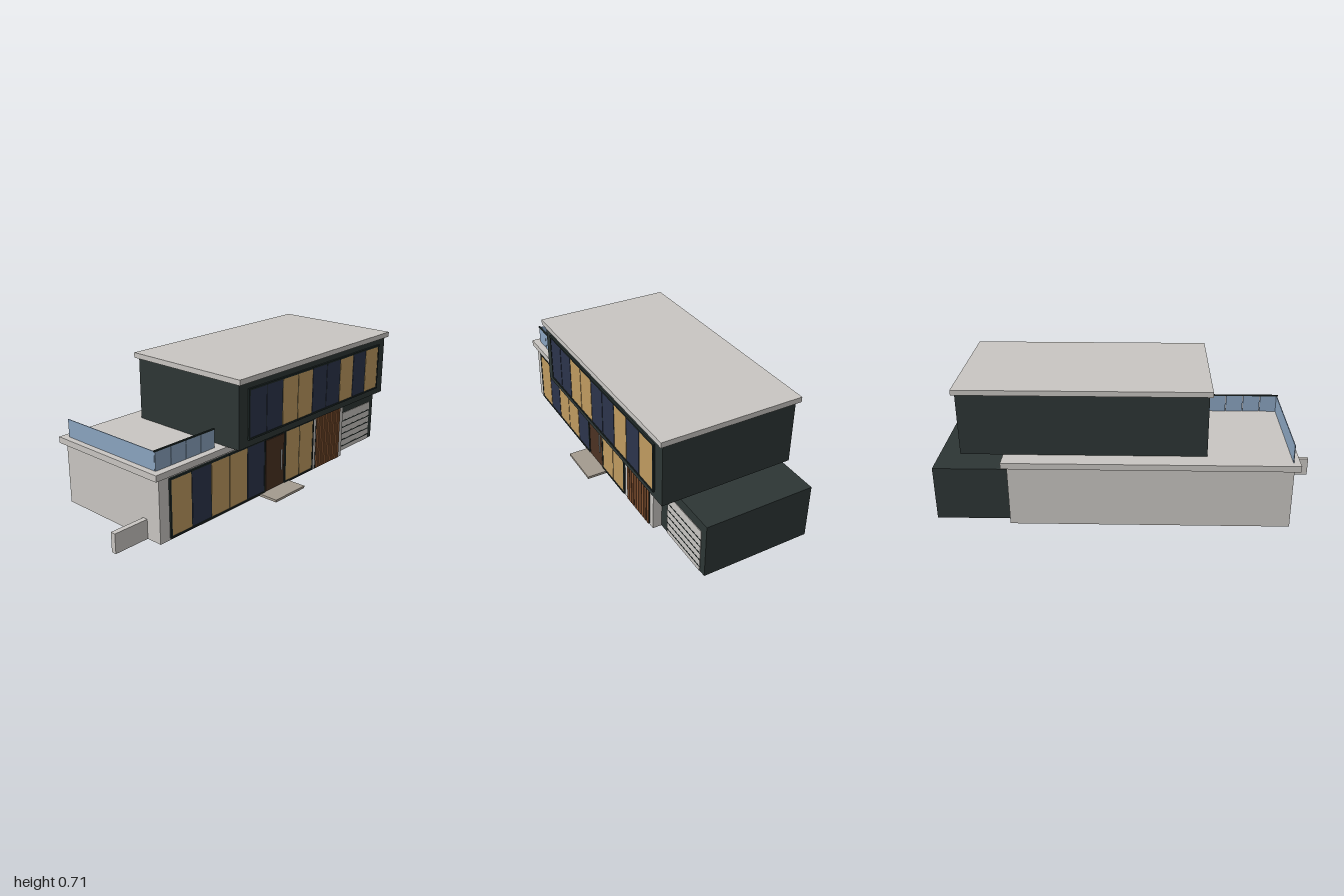
import * as THREE from 'three';

const material = (name, color, side = THREE.FrontSide) => {
  const m = new THREE.MeshStandardMaterial({ color, side });
  m.name = name;
  return m;
};

export function createModel() {
  const mats = {
    plaster: material('pale plaster', 0xc9c6c2, THREE.DoubleSide),
    charcoal: material('charcoal cladding', 0x2d3635, THREE.DoubleSide),
    frame: material('black frame', 0x1e2827),
    lit: material('lit window', 0xbf9b60),
    dark: material('dark window', 0x2c344b),
    door: material('dark wood', 0x4b3222),
    slat: material('warm wood', 0x80502f),
    glass: material('railing glass', 0x8aa4c0, THREE.DoubleSide),
    step: material('stone step', 0xa39b8f),
    metal: material('metal', 0xb4b6b6),
  };
  const house = new THREE.Group();
  house.name = 'house';

  const add = (parent, name, geometry, mat) => {
    const mesh = new THREE.Mesh(geometry, mat);
    mesh.name = name;
    parent.add(mesh);
    return mesh;
  };

  // Box given by its minimum and maximum on each axis
  const boxGeometry = (x0, x1, y0, y1, z0, z1) =>
    new THREE.BoxGeometry(x1 - x0, y1 - y0, z1 - z0)
      .translate((x0 + x1) / 2, (y0 + y1) / 2, (z0 + z1) / 2);
  const box = (parent, name, mat, ...b) => add(parent, name, boxGeometry(...b), mat);

  // Hollow box missing some faces (0 +x, 1 -x, 2 +y, 3 -y, 4 +z, 5 -z)
  const shell = (parent, name, mat, missing, ...b) => {
    const g = boxGeometry(...b);
    g.setIndex([...g.index.array].filter((_, i) => !missing.includes(Math.floor(i / 6))));
    g.clearGroups();
    return add(parent, name, g, mat);
  };

  const group = (name) => {
    const g = new THREE.Group();
    g.name = name;
    house.add(g);
    return g;
  };

  // Row of panes on a backing with a raised border; pattern: L lit, D dark
  const windowBand = (name, x0, x1, y0, y1, z, pattern) => {
    const g = group(name);
    const e = 0.009, gap = 0.003;
    box(g, 'windowBacking', mats.frame, x0, x1, y0, y1, z, z + 0.005);
    for (const [a, b] of [[y0, y0 + e], [y1 - e, y1]])
      box(g, 'windowRail', mats.frame, x0, x1, a, b, z, z + 0.01);
    for (const [a, b] of [[x0, x0 + e], [x1 - e, x1]])
      box(g, 'windowJamb', mats.frame, a, b, y0 + e, y1 - e, z, z + 0.009);
    const w = (x1 - x0 - 2 * e) / pattern.length;
    [...pattern].forEach((c, i) => {
      const left = x0 + e + i * w;
      box(g, 'pane', c === 'L' ? mats.lit : mats.dark,
        left + (i ? gap : 0), left + w - (i < pattern.length - 1 ? gap : 0),
        y0 + e, y1 - e, z + 0.004, z + 0.007);
    });
  };

  // Ground floor, open underneath, with its roof slab
  shell(house, 'groundFloor', mats.plaster, [2, 3], -0.81, 0.613, 0, 0.325, -0.38, 0.287);
  box(house, 'terraceSlab', mats.plaster, -0.84, 0.64, 0.325, 0.357, -0.4, 0.305);

  // Upper floor and roof
  box(house, 'upperFloor', mats.charcoal, -0.385, 0.855, 0.358, 0.685, -0.305, 0.382);
  box(house, 'roof', mats.plaster, -0.4, 0.87, 0.685, 0.712, -0.325, 0.4);

  // Windows
  windowBand('upperWindows', -0.322, 0.792, 0.394, 0.65, 0.382, 'DDLLDDLDL');
  windowBand('livingRoomWindows', -0.75, -0.082, 0.01, 0.31, 0.287, 'LDLLD');
  windowBand('hallWindows', 0.076, 0.326, 0.01, 0.31, 0.287, 'LL');

  // Entrance
  const entrance = group('entrance');
  box(entrance, 'doorFrame', mats.frame, -0.08, 0.074, 0.01, 0.3, 0.287, 0.29);
  box(entrance, 'frontDoor', mats.door, -0.075, 0.07, 0.012, 0.295, 0.288, 0.294);
  box(entrance, 'doorHandle', mats.metal, 0.046, 0.052, 0.097, 0.21, 0.294, 0.3);
  box(entrance, 'doorstep', mats.step, -0.12, 0.115, 0, 0.013, 0.287, 0.4);

  // Timber screen
  const screen = group('timberScreen');
  box(screen, 'screenBacking', mats.frame, 0.355, 0.58, 0.005, 0.312, 0.287, 0.289);
  const slats = 9, pitch = 0.225 / slats;
  for (let i = 0; i < slats; i++) {
    const x = 0.355 + i * pitch;
    box(screen, 'slat', mats.slat, x + 0.003, x + pitch - 0.003, 0.005, 0.312, 0.289, 0.294);
  }

  // Garage, open underneath, with a doorway cut in its front
  const garage = group('garage');
  shell(garage, 'garageShell', mats.charcoal, [1, 3, 4], 0.614, 1, 0, 0.288, -0.333, 0.24);
  const front = new THREE.Shape([
    [0.614, 0], [0.67, 0], [0.67, 0.235], [0.962, 0.235],
    [0.962, 0], [1, 0], [1, 0.288], [0.614, 0.288],
  ].map(([x, y]) => new THREE.Vector2(x, y)));
  add(garage, 'garageFront', new THREE.ShapeGeometry(front).translate(0, 0, 0.24), mats.charcoal);
  box(garage, 'garageDoor', mats.plaster, 0.67, 0.962, 0, 0.235, 0.236, 0.243);
  for (let i = 0; i < 6; i++) {
    const y = 0.027 + i * 0.0395 - 0.003;
    if (y < 0.22) box(garage, 'doorGroove', mats.frame, 0.67, 0.962, y, y + 0.006, 0.242, 0.244);
  }

  // Garden wall
  box(house, 'gardenWall', mats.plaster, -1, -0.79, 0, 0.1, 0.174, 0.201);

  // Terrace railing: four front panels under a rail, one long side panel
  const railing = group('terraceRailing');
  for (let i = 0; i < 4; i++) {
    const x = -0.808 + i * 0.095;
    box(railing, 'frontGlass', mats.glass, x + 0.0015, x + 0.0935, 0.357, 0.45, 0.262, 0.268);
  }
  box(railing, 'handrail', mats.frame, -0.812, -0.43, 0.449, 0.455, 0.26, 0.27);
  box(railing, 'sideGlass', mats.glass, -0.808, -0.804, 0.357, 0.45, -0.36, 0.262);

  return house;
}
